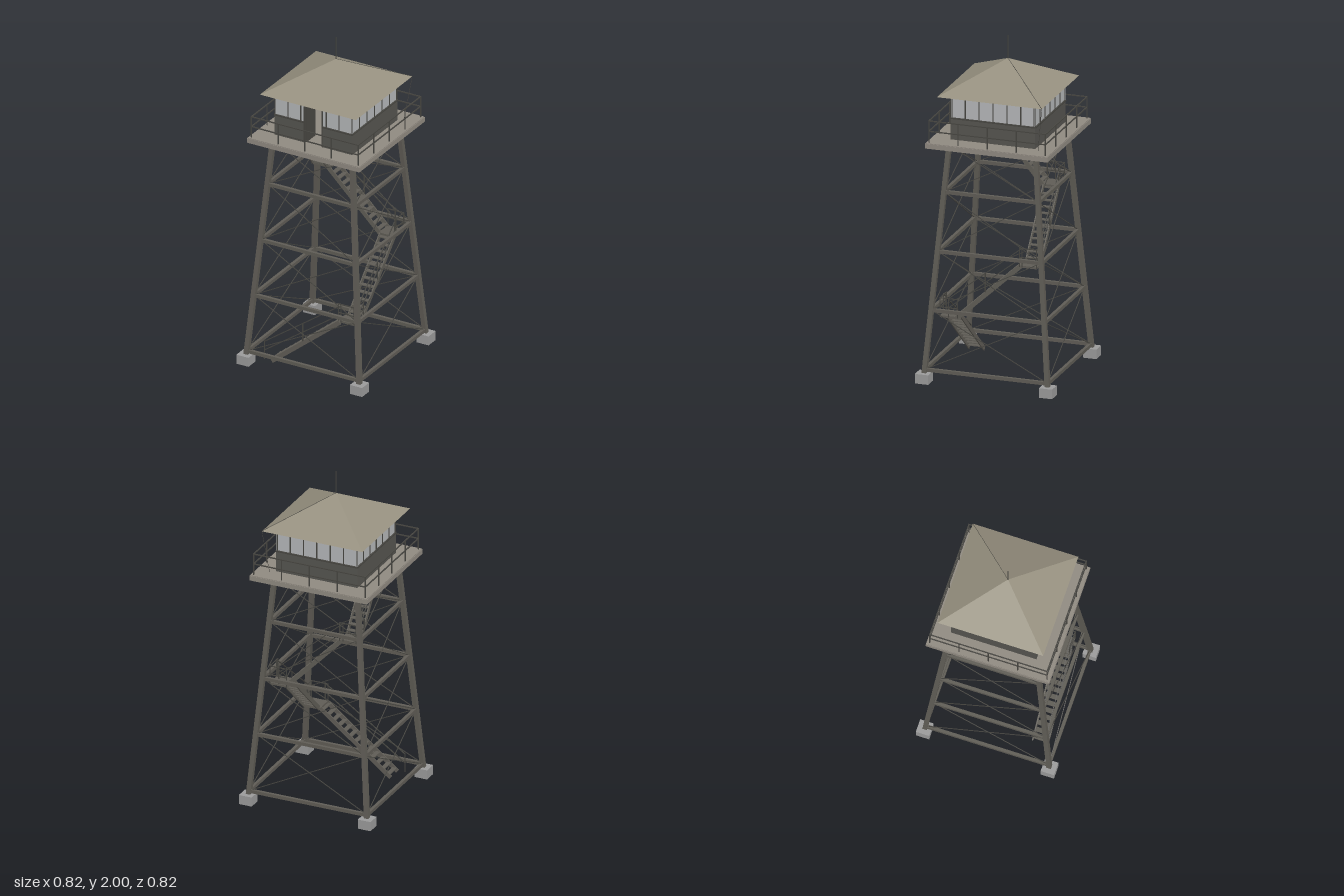
import * as THREE from 'three';

const mat = (color) => new THREE.MeshStandardMaterial({ color, flatShading: true, side: THREE.DoubleSide });
const steel = mat(0x5f5c55), dark = mat(0x474641), deckMat = mat(0x8f8980), roofMat = mat(0x96907f);
const concrete = mat(0x9a9a9a), wallMat = mat(0x55544f), glass = mat(0xb4b6b8);
const V = (x, y, z) => new THREE.Vector3(x, y, z);

function group(parent, name) {
  const g = new THREE.Group();
  g.name = name;
  parent.add(g);
  return g;
}

function box(parent, name, m, w, h, d, x, y, z) {
  const mesh = new THREE.Mesh(new THREE.BoxGeometry(w, h, d), m);
  mesh.name = name;
  mesh.position.set(x, y, z);
  parent.add(mesh);
  return mesh;
}

// Rectangular bar between two points
function bar(parent, name, m, a, b, w, h = w, roll = 0) {
  const mesh = box(parent, name, m, w, h, a.distanceTo(b), 0, 0, 0);
  mesh.position.copy(a).lerp(b, 0.5);
  const helper = new THREE.Object3D();
  helper.position.copy(mesh.position);
  helper.lookAt(b);
  helper.rotateZ(roll);
  mesh.quaternion.copy(helper.quaternion);
  return mesh;
}

// Four copies of a side, turned about the vertical axis
function fourSides(parent, name, build) {
  for (let k = 0; k < 4; k++) {
    const g = group(parent, name);
    g.rotation.y = k * Math.PI / 2;
    build(g, k);
  }
}

const DECK = 1.428;
const half = (y) => 0.37 - (y - 0.057) * 0.082;   // tower half width at a height

function addTower(root) {
  const levels = [0.075, 0.425, 0.77, 1.12, 1.395];
  fourSides(root, 'towerSide', (g) => {
    box(g, 'footing', concrete, 0.08, 0.057, 0.08, 0.3725, 0.0285, 0.3725);
    const t = half(1.4), b = half(0.05);
    bar(g, 'leg', steel, V(b, 0.05, b), V(t, 1.4, t), 0.027, 0.027, Math.PI / 4);
    levels.forEach((y, i) => {
      const a = half(y);
      bar(g, 'crossBeam', steel, V(-a, y, a), V(a, y, a), 0.018, 0.02);
      if (i === 4) return;
      const y2 = levels[i + 1], c = half(y2);
      bar(g, 'brace', dark, V(-a, y, a), V(c, y2, c), 0.004);
      bar(g, 'brace', dark, V(a, y, a), V(-c, y2, c), 0.004);
    });
  });
}

// Straight flight from a to b; out points to the side with the handrail
function addFlight(root, a, b, out) {
  const g = group(root, 'stairFlight');
  const w = 0.045, run = V(b.x - a.x, 0, b.z - a.z).normalize();
  const up = V(0, 1, 0);
  for (const s of [-1, 1]) {
    const o = out.clone().multiplyScalar(s * w);
    bar(g, 'stringer', steel, a.clone().add(o), b.clone().add(o), 0.007, 0.026);
  }
  const n = Math.round((b.y - a.y) / 0.028);
  for (let i = 0; i < n; i++) {
    const p = a.clone().lerp(b, (i + 0.5) / n);
    const alongX = Math.abs(run.x) > Math.abs(run.z);
    box(g, 'tread', steel, alongX ? 0.028 : 2 * w, 0.005, alongX ? 2 * w : 0.028, p.x, p.y + 0.006, p.z);
  }
  // Handrail
  const o = out.clone().multiplyScalar(w + 0.004);
  const r0 = a.clone().add(o).addScaledVector(run, -0.045).addScaledVector(up, 0.005);
  const r1 = b.clone().add(o).addScaledVector(run, 0.01);
  for (const h of [0.055, 0.11]) {
    bar(g, 'handrail', dark, r0.clone().addScaledVector(up, h), r1.clone().addScaledVector(up, h), 0.005);
  }
  for (const t of [0, 0.5, 1]) {
    const p = r0.clone().lerp(r1, t);
    box(g, 'railPost', dark, 0.005, 0.115, 0.005, p.x, p.y + 0.055, p.z);
  }
}

// Corner landing with rails on its two outer edges
function addLanding(root, x, y, z) {
  const g = group(root, 'landing'), s = 0.052;
  box(g, 'landingFloor', steel, 2 * s, 0.012, 2 * s, x, y, z);
  const cx = x + Math.sign(x) * s, cz = z + Math.sign(z) * s;
  const ix = x - Math.sign(x) * s, iz = z - Math.sign(z) * s;
  for (const h of [0.055, 0.11]) {
    bar(g, 'landingRail', dark, V(ix, y + h, cz), V(cx, y + h, cz), 0.005);
    bar(g, 'landingRail', dark, V(cx, y + h, iz), V(cx, y + h, cz), 0.005);
  }
  for (const [px, pz] of [[ix, cz], [cx, cz], [cx, iz]]) {
    box(g, 'landingPost', dark, 0.005, 0.115, 0.005, px, y + 0.055, pz);
  }
}

function addStairs(root) {
  addFlight(root, V(-0.235, 0.022, 0.272), V(0.205, 0.375, 0.262), V(0, 0, 1));
  addLanding(root, 0.245, 0.378, 0.25);
  addFlight(root, V(0.248, 0.375, 0.205), V(0.235, 0.725, -0.175), V(1, 0, 0));
  addLanding(root, 0.232, 0.725, -0.222);
  addFlight(root, V(0.185, 0.725, -0.22), V(-0.155, 1.075, -0.205), V(0, 0, -1));
  addLanding(root, -0.195, 1.075, -0.2);
  addFlight(root, V(-0.19, 1.075, -0.155), V(-0.182, 1.395, 0.097), V(-1, 0, 0));
}

function addDeck(root) {
  const g = group(root, 'deck');
  box(g, 'deckFloor', deckMat, 0.73, 0.014, 0.73, 0, DECK - 0.007, 0);
  fourSides(g, 'deckSide', (s) => {
    box(s, 'rimBeam', deckMat, 0.736, 0.028, 0.016, 0, 1.41, 0.36);
    for (const y of [1.495, 1.557]) box(s, 'deckRail', dark, 0.7, 0.006, 0.006, 0, y, 0.35);
    for (let i = 0; i < 4; i++) {
      box(s, 'deckPost', dark, 0.006, 0.132, 0.006, -0.35 + i * 0.175, DECK + 0.066, 0.35);
    }
  });
}

function addCabin(root) {
  const g = group(root, 'cabin');
  const W = 0.255, sill = 1.555, top = 1.697, door = 0.058;
  fourSides(g, 'cabinSide', (s, k) => {
    // The front is split around the doorway
    const spans = k === 0 ? [[-W, -door], [door, W]] : [[-W, W]];
    for (const [a, b] of spans) {
      const w = b - a, c = (a + b) / 2;
      box(s, 'lowerWall', wallMat, w, sill - DECK, 0.01, c, (sill + DECK) / 2, W - 0.005);
      box(s, 'windowSill', dark, w, 0.008, 0.016, c, sill, W - 0.004);
      box(s, 'windowPane', glass, w, top - sill, 0.003, c, (top + sill) / 2, W - 0.006);
    }
    for (let i = 0; i < 7; i++) {
      const x = -W + 0.004 + i * (2 * W - 0.008) / 6;
      if (k === 0 && i === 3) continue;
      box(s, 'mullion', dark, 0.006, top - sill, 0.009, x, (top + sill) / 2, W - 0.005);
    }
    box(s, 'topPlate', dark, 2 * W, 0.01, 0.01, 0, top - 0.005, W - 0.005);
  });
  // Open doorway, door swung inward and a central instrument stand
  for (const x of [-door, door]) box(g, 'doorFrame', dark, 0.008, top - DECK, 0.014, x, (top + DECK) / 2, W - 0.005);
  box(g, 'door', dark, 0.008, 0.245, 0.1, -door + 0.006, DECK + 0.123, W - 0.06);
  box(g, 'stand', wallMat, 0.06, 0.12, 0.06, 0.015, DECK + 0.06, 0);
}

function addRoof(root) {
  const g = group(root, 'roof');
  const E = 0.315, eave = 1.692, apex = 1.862;
  const geo = new THREE.ConeGeometry(E * Math.SQRT2, apex - eave, 4);
  geo.rotateY(Math.PI / 4);
  const roof = new THREE.Mesh(geo, roofMat);
  roof.name = 'roofPyramid';
  roof.position.y = (apex + eave) / 2;
  g.add(roof);
  const rod = new THREE.Mesh(new THREE.CylinderGeometry(0.002, 0.003, 0.15, 8), dark);
  rod.name = 'lightningRod';
  rod.position.y = 1.925;
  g.add(rod);
  // Ground wire down one hip and on to the deck
  bar(g, 'groundWire', dark, V(0, apex, 0), V(E, eave + 0.002, -E), 0.002);
  bar(g, 'groundWire', dark, V(E, eave, -E), V(0.282, DECK, -0.282), 0.002);
}

export function createModel() {
  const root = new THREE.Group();
  root.name = 'lookoutTower';
  addTower(root);
  addStairs(root);
  addDeck(root);
  addCabin(root);
  addRoof(root);
  return root;
}
